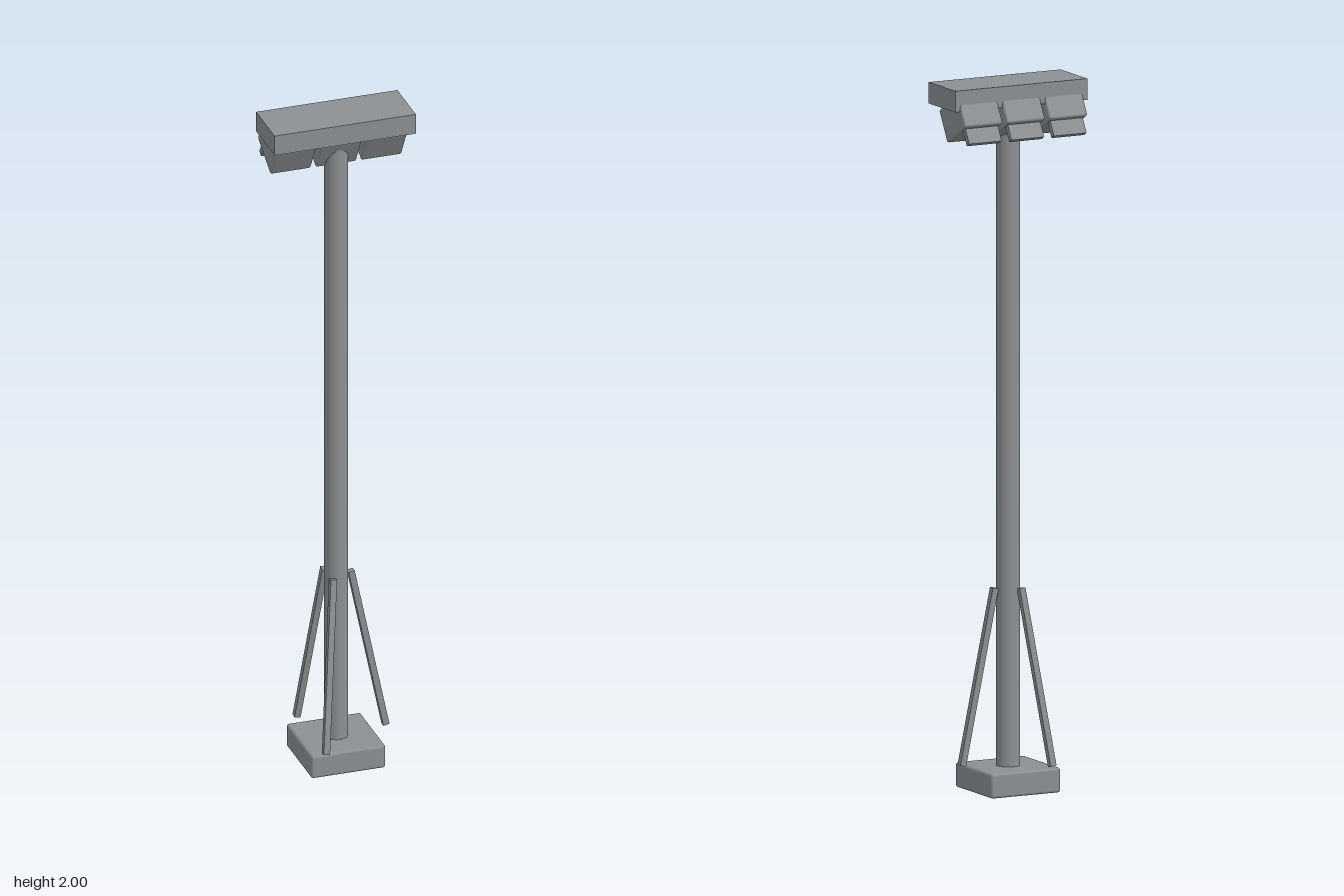
import * as THREE from 'three';
import { RoundedBoxGeometry } from 'three/addons/geometries/RoundedBoxGeometry.js';

export function createModel() {
  const model = new THREE.Group();
  model.name = 'floodlightMast';
  const grey = new THREE.MeshStandardMaterial({ color: 0x8c9093 });
  grey.name = 'steelGrey';

  const add = (name, geometry, x, y, z, parent = model) => {
    const mesh = new THREE.Mesh(geometry, grey);
    mesh.name = name;
    mesh.position.set(x, y, z);
    parent.add(mesh);
    return mesh;
  };

  // Footing, pole and flat hood
  add('base', new RoundedBoxGeometry(0.218, 0.07, 0.218, 2, 0.008), 0, 0.035, 0);
  add('pole', new THREE.CylinderGeometry(0.034, 0.034, 1.88, 32), 0, 1.0, 0);
  add('hood', new THREE.BoxGeometry(0.414, 0.06, 0.158), 0, 1.97, 0);

  // Three square braces leaning against the pole
  const up = new THREE.Vector3(0, 1, 0);
  for (let i = 0; i < 3; i++) {
    const a = (i * Math.PI * 2) / 3;
    const at = (r, y) => new THREE.Vector3(r * Math.cos(a), y, r * Math.sin(a));
    const foot = at(0.145, 0.08);
    const head = at(0.043, 0.573);
    const along = head.clone().sub(foot);
    const mid = foot.clone().add(head).multiplyScalar(0.5);
    const brace = add('brace', new THREE.BoxGeometry(0.018, along.length(), 0.018), mid.x, mid.y, mid.z);
    brace.quaternion.setFromUnitVectors(up, along.normalize());
  }

  // Lamps tilted backwards, each with a lens plate hanging below its housing
  for (const x of [-0.133, 0, 0.133]) {
    const lamp = new THREE.Group();
    lamp.name = 'lamp';
    lamp.position.set(x, 1.914, -0.0315);
    lamp.rotation.x = Math.PI / 6;
    add('lampHousing', new RoundedBoxGeometry(0.119, 0.098, 0.127, 2, 0.006), 0, 0, 0, lamp);
    add('lensPlate', new THREE.BoxGeometry(0.102, 0.06, 0.017), 0, -0.064, -0.037, lamp);
    model.add(lamp);
  }
  return model;
}
